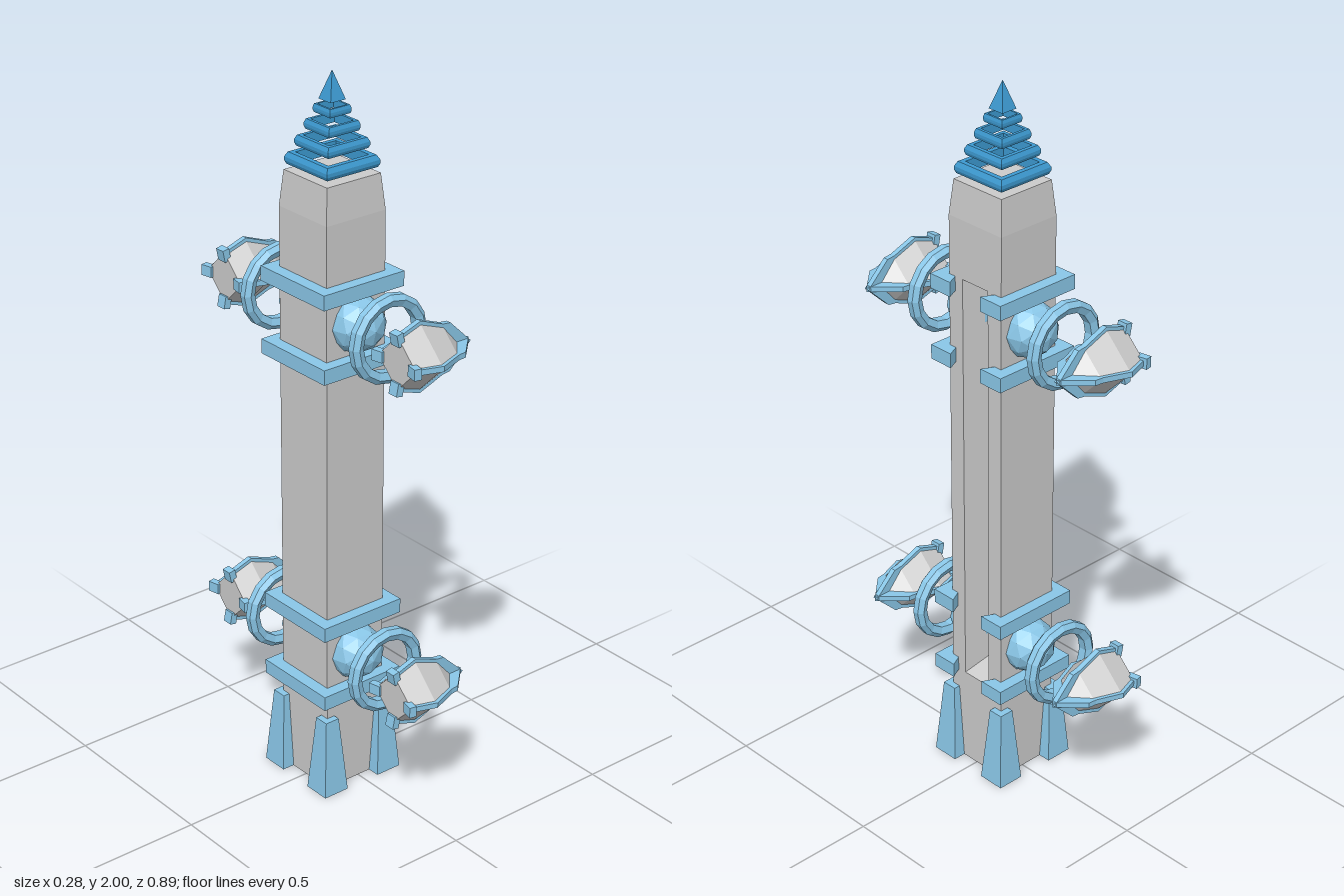
import * as THREE from 'three';

const mat = (color) => new THREE.MeshStandardMaterial({ color, flatShading: true });
const GREY = mat(0xcccccc);
const LIGHT = mat(0x8ac7e8);
const DEEP = mat(0x3d9ad1);

function add(parent, name, geometry, material, x = 0, y = 0, z = 0) {
  const mesh = new THREE.Mesh(geometry, material);
  mesh.name = name;
  mesh.position.set(x, y, z);
  parent.add(mesh);
  return mesh;
}

const points = (list) => list.map(([a, b]) => new THREE.Vector2(a, b));

// Square solid turned from a [half width, height] profile
function squareLathe(profile) {
  const p = profile.map(([r, y]) => [r * Math.SQRT2, y]);
  return new THREE.LatheGeometry(points(p), 4, Math.PI / 4);
}

// Skin through rectangles [x, y0, y1, z0, z1] that follow one another
function rectLoft(rects) {
  const loops = rects.map(([x, y0, y1, z0, z1]) => [[x, y0, z1], [x, y0, z0], [x, y1, z0], [x, y1, z1]]);
  const pos = [];
  for (let k = 0; k + 1 < loops.length; k++) {
    for (let i = 0; i < 4; i++) {
      const j = (i + 1) % 4, a = loops[k], b = loops[k + 1];
      pos.push(...a[i], ...a[j], ...b[j], ...a[i], ...b[j], ...b[i]);
    }
  }
  const g = new THREE.BufferGeometry();
  g.setAttribute('position', new THREE.Float32BufferAttribute(pos, 3));
  g.computeVertexNormals();
  return g;
}

function extrude(outline, depth) {
  const g = new THREE.ExtrudeGeometry(new THREE.Shape(points(outline)), { depth, bevelEnabled: false });
  return g.translate(0, 0, -depth / 2);
}

// Pointed pod with a diamond section, a crest on each ridge and rear clips
function makePod() {
  const pod = new THREE.Group();
  pod.name = 'pod';
  const shell = new THREE.LatheGeometry(points([
    [0, -0.08], [0.072, -0.08], [0.094, -0.012], [0.066, 0.062], [0, 0.12],
  ]), 4).rotateZ(-Math.PI / 2);
  add(pod, 'podShell', shell, GREY);
  const crest = extrude([
    [-0.08, 0.05], [-0.012, 0.08], [0.05, 0.05], [0.1, 0], [0.153, 0],
    [0.085, 0.066], [0.061, 0.069], [-0.012, 0.097], [-0.08, 0.074],
  ], 0.015);
  for (let i = 0; i < 4; i++) {
    const ridge = new THREE.Group();
    ridge.name = 'podRidge';
    ridge.rotation.x = i * Math.PI / 2;
    add(ridge, 'podCrest', crest, LIGHT);
    const clip = add(ridge, 'podClip', new THREE.BoxGeometry(0.02, 0.034, 0.03), LIGHT, -0.081, 0.067, 0);
    clip.rotation.z = 0.2;
    pod.add(ridge);
  }
  return pod;
}

export function createModel() {
  const model = new THREE.Group();
  model.name = 'tower';
  const body = new THREE.Group();
  body.name = 'towerBody';
  body.position.set(-0.013, 0, -0.002);
  model.add(body);

  // Shaft with a bevelled groove down its left side
  const h = 0.095;
  add(body, 'shaft', rectLoft([
    [-h, 0.8, 0.8, 0, 0],
    [-h, 0, 1.64, -h, h],
    [h, 0, 1.64, -h, h],
    [h, 0.28, 1.476, -0.046, 0.046],
    [h - 0.1, 0.32, 1.44, -0.024, 0.024],
    [h - 0.1, 0.8, 0.8, 0, 0],
  ]), GREY);
  add(body, 'shaftTop', squareLathe([[h, 1.64], [0.086, 1.737], [0, 1.737]]), GREY);

  // Corner feet
  const foot = squareLathe([[0, 0], [0.039, 0], [0.0215, 0.222], [0, 0.222]]);
  for (const sx of [-1, 1]) for (const sz of [-1, 1]) {
    add(body, 'cornerFoot', foot, LIGHT, sx * 0.092, 0, sz * 0.092);
  }

  // Spire of floating square frames and a pointed tip
  for (const [w, y, t] of [[0.085, 1.768, 0.016], [0.067, 1.815, 0.014], [0.05, 1.859, 0.013], [0.034, 1.901, 0.011]]) {
    const i = w * 0.76;
    add(body, 'spireFrame', squareLathe([
      [i, -t], [w * 0.95, -t], [w, -t * 0.4], [w, t * 0.2], [w * 0.92, t], [i, t], [i, -t],
    ]), DEEP, 0, y, 0);
  }
  add(body, 'spireTip', squareLathe([[0, 1.925], [0.024, 1.925], [0, 2]]), DEEP);

  // Open bands that hook round the grooved side
  const half = [[0.096, 0.095], [0.096, 0.072], [0.13, 0.055], [0.13, 0.1285], [-0.13, 0.1285]];
  const mirrored = half.map(([x, z]) => [x, -z]).reverse();
  const band = extrude([[-0.095, 0.095], ...half, ...mirrored, [-0.095, -0.095]], 0.041).rotateX(-Math.PI / 2);
  for (const y of [0.297, 0.507, 1.253, 1.456]) add(body, 'band', band, LIGHT, 0, y, 0);

  // Domes, floating rings and pods, in two tiers front and back
  const dome = new THREE.IcosahedronGeometry(0.077, 1);
  const ring = new THREE.LatheGeometry(points([
    [0.088, -0.012], [0.107, -0.02], [0.12, -0.009], [0.12, 0.009],
    [0.107, 0.02], [0.088, 0.012], [0.088, -0.012],
  ]), 16).rotateX(Math.PI / 2);
  for (const y of [0.402, 1.358]) for (const side of [-1, 1]) {
    add(body, 'dome', dome, LIGHT, 0, y, side * 0.097);
    add(body, 'ring', ring, LIGHT, 0, y, side * 0.22);
    const pod = makePod();
    pod.position.set(0, y, side * 0.35);
    body.add(pod);
  }
  return model;
}
